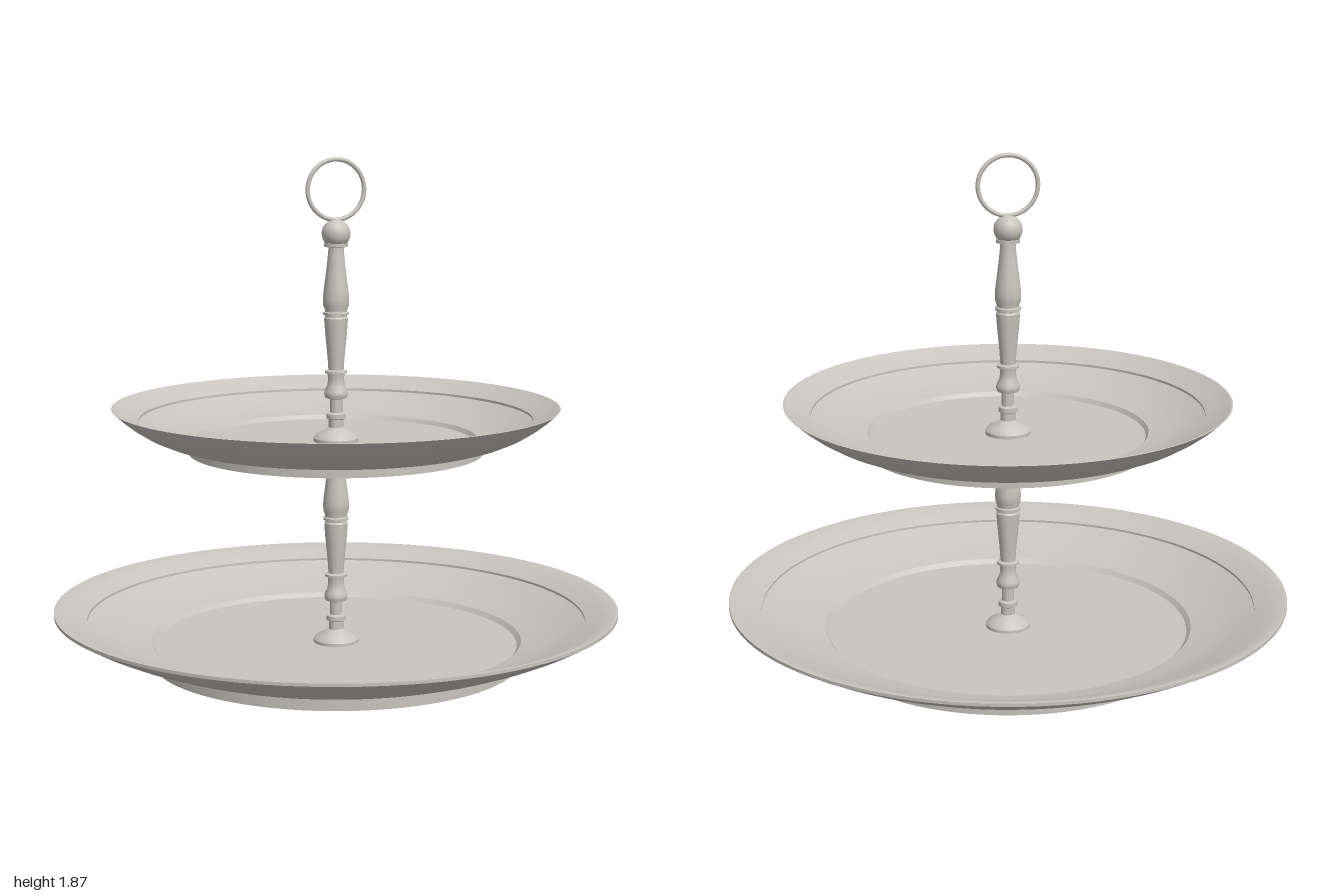
import * as THREE from 'three';
import { toCreasedNormals } from 'three/addons/utils/BufferGeometryUtils.js';

const silver = new THREE.MeshStandardMaterial({ color: 0xc8c5c0 });
silver.name = 'silver';

// Turned part from [radius, height] pairs, listed from the bottom axis outward and up
function turned(name, profile, segments, y = 0) {
  const points = profile.map(([r, h]) => new THREE.Vector2(r, h));
  const geometry = toCreasedNormals(new THREE.LatheGeometry(points, segments), 0.5);
  const mesh = new THREE.Mesh(geometry, silver);
  mesh.name = name;
  mesh.position.y = y;
  return mesh;
}

// Baluster section, measured from the floor of the plate it stands on
const baluster = [
  [0, 0], [0.08, 0], [0.08, 0.012], [0.07, 0.025], [0.04, 0.04], [0.026, 0.05],
  [0.026, 0.078], [0.034, 0.082], [0.034, 0.098], [0.022, 0.103], [0.022, 0.15],
  [0.038, 0.155], [0.042, 0.168], [0.04, 0.18], [0.03, 0.2], [0.028, 0.225], [0.03, 0.24],
  [0.039, 0.242], [0.039, 0.25], [0.027, 0.254], [0.03, 0.3], [0.038, 0.38], [0.042, 0.435],
  [0.038, 0.441], [0.038, 0.446], [0.045, 0.448], [0.045, 0.456], [0.039, 0.459], [0.039, 0.464],
  [0.045, 0.48], [0.046, 0.505], [0.043, 0.535], [0.037, 0.58], [0.031, 0.63], [0.027, 0.672],
  [0.027, 0.682], [0.042, 0.685], [0.042, 0.697], [0, 0.697],
];

export function createModel() {
  const model = new THREE.Group();
  model.name = 'tieredServingStand';

  // Stepped pedestal
  model.add(turned('base', [
    [0, 0], [0.276, 0], [0.276, 0.046], [0.22, 0.046], [0.22, 0.064],
    [0.13, 0.064], [0.13, 0.1], [0, 0.1],
  ], 64));

  // Large plate with foot ring, thick lip and stepped rim
  model.add(turned('lowerPlate', [
    [0, 0.099], [0.612, 0.099], [0.612, 0.094], [0.66, 0.094], [0.66, 0.134],
    [0.71, 0.148], [0.78, 0.172], [0.86, 0.204], [0.93, 0.237], [0.985, 0.268], [0.998, 0.277],
    [1, 0.277], [1, 0.288], [0.99, 0.289], [0.94, 0.27], [0.885, 0.249], [0.885, 0.241],
    [0.82, 0.212], [0.74, 0.185], [0.66, 0.166], [0.645, 0.15], [0, 0.15],
  ], 96));

  // Smaller plate with a thin rim
  model.add(turned('upperPlate', [
    [0, 0.843], [0.52, 0.843], [0.52, 0.872],
    [0.57, 0.88], [0.62, 0.895], [0.67, 0.917], [0.72, 0.948], [0.755, 0.975], [0.787, 1.004],
    [0.782, 1.005], [0.74, 0.983], [0.692, 0.963], [0.692, 0.955],
    [0.63, 0.926], [0.56, 0.905], [0.495, 0.893], [0.485, 0.878], [0, 0.878],
  ], 96));

  // Two matching stem sections
  model.add(turned('lowerStem', baluster, 32, 0.148));
  model.add(turned('upperStem', baluster, 32, 0.878));

  // Ball finial
  const finial = new THREE.Mesh(new THREE.SphereGeometry(0.05, 32, 20), silver);
  finial.name = 'finial';
  finial.position.y = 1.608;
  model.add(finial);

  // Carrying ring
  const handle = new THREE.Mesh(new THREE.TorusGeometry(0.104, 0.008, 12, 64), silver);
  handle.name = 'ringHandle';
  handle.position.y = 1.76;
  model.add(handle);

  return model;
}
